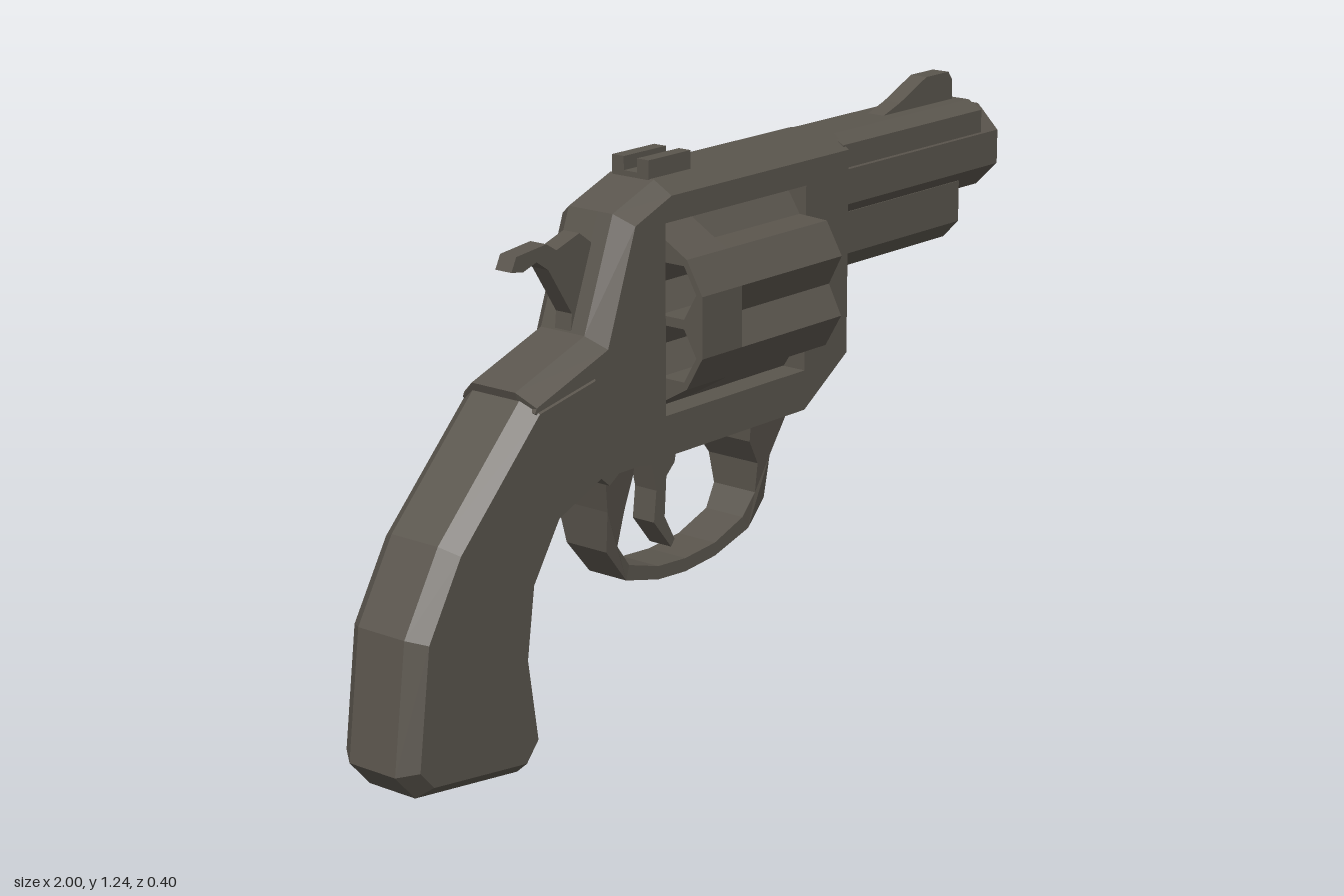
import * as THREE from 'three';

const gunmetal = new THREE.MeshStandardMaterial({ color: 0x5a554d, flatShading: true });
gunmetal.name = 'gunmetal';

const vec = (pts) => pts.map(([x, y]) => new THREE.Vector2(x, y));

// Flat profile extruded along z, centred on z = 0
function slab(pts, half, options = {}, holes = []) {
  const shape = new THREE.Shape(vec(pts));
  holes.forEach((h) => shape.holes.push(new THREE.Path(vec(h))));
  const geo = new THREE.ExtrudeGeometry(shape, { depth: half * 2, bevelEnabled: false, ...options });
  return geo.translate(0, 0, -half);
}

// Profile given as (z, y), extruded along x from x0 to x1
function bar(pts, x0, x1, holes = []) {
  return slab(pts, (x1 - x0) / 2, {}, holes).rotateY(Math.PI / 2).translate((x0 + x1) / 2, 0, 0);
}

const mirrored = (pts) => [...pts, ...pts.map(([z, y]) => [-z, y]).reverse()];

// Move every vertex by a rule
function reshape(geo, rule) {
  const p = geo.attributes.position;
  const v = new THREE.Vector3();
  for (let i = 0; i < p.count; i++) {
    v.fromBufferAttribute(p, i);
    rule(v);
    p.setXYZ(i, v.x, v.y, v.z);
  }
  geo.computeVertexNormals();
  return geo;
}

export function createModel() {
  const model = new THREE.Group();
  const add = (name, geo) => {
    const mesh = new THREE.Mesh(geo, gunmetal);
    mesh.name = name;
    model.add(mesh);
  };

  // Frame with a window; the top and back edges are chamfered.
  // A third and fourth number give the corner's place on the side faces.
  const framePts = [
    [-0.2, 1.18, -0.19, 1.15], [0.41, 1.18, 0.41, 1.15], [0.41, 0.69], [0.26, 0.59], [-0.36, 0.59],
    [-0.39, 0.57], [-0.5, 0.66], [-0.615, 0.775], [-0.63, 0.815, -0.61, 0.785],
    [-0.42, 0.89, -0.392, 0.862], [-0.33, 1.13, -0.305, 1.105],
  ];
  const opening = [[-0.21, 0.68], [0.26, 0.68], [0.26, 1.095], [-0.21, 1.095]];
  add('frame', reshape(slab(framePts, 0.1, { steps: 5 }, [opening]), (v) => {
    if (Math.abs(v.z) < 0.09) return;
    const c = framePts.find((p) => p.length > 2 && Math.hypot(p[0] - v.x, p[1] - v.y) < 0.001);
    if (c) { v.x = c[2]; v.y = c[3]; }
  }));

  // Grip with bevelled edges
  const gripPts = [
    [-0.41, 0.84], [-0.62, 0.8], [-0.865, 0.55], [-0.965, 0.38], [-1, 0.1], [-0.945, 0.04], [-0.645, 0.005],
    [-0.59, 0.07], [-0.62, 0.26], [-0.6, 0.405], [-0.53, 0.515], [-0.385, 0.575],
  ];
  add('grip', slab(gripPts, 0.064, {
    bevelEnabled: true, bevelThickness: 0.04, bevelSize: 0.03, bevelOffset: -0.03, bevelSegments: 1,
  }));

  // Drum: six chambers, plain at the rear and fluted at the front
  const cy = 0.887;
  const polar = (r, deg) => {
    const a = THREE.MathUtils.degToRad(deg);
    return [r * Math.cos(a), cy + r * Math.sin(a)];
  };
  const plain = [], fluted = [], chambers = [];
  for (let k = 0; k < 6; k++) {
    const a = k * 60;
    plain.push(polar(0.21, a - 18.5), polar(0.21, a + 18.5));
    fluted.push(polar(0.21, a - 18.5), polar(0.165, a), polar(0.21, a + 18.5));
    const [z, y] = polar(0.135, a + 30);
    chambers.push([0, 1, 2, 3, 4, 5].map((i) => {
      const t = i * Math.PI / 3;
      return [z + 0.066 * Math.cos(t), y + 0.066 * Math.sin(t)];
    }));
  }
  add('drumRear', bar(plain, -0.21, -0.08, chambers));
  add('drumFront', bar(fluted, -0.08, 0.26, chambers));

  // Octagonal barrel with a stepped muzzle and open bore
  const barrel = new THREE.LatheGeometry(vec([
    [0, 0.4], [0.103, 0.4], [0.103, 0.98], [0.089, 0.98], [0.089, 1], [0.077, 1], [0.077, 0.55], [0, 0.55],
  ]), 8, Math.PI / 8);
  add('barrel', barrel.rotateZ(-Math.PI / 2).translate(0, 1.065, 0));
  add('barrelRib', bar(mirrored([[0.055, 1.18], [0.092, 1.16], [0.092, 1.1]]), 0.4, 0.92));
  add('underLug', bar(mirrored([[0.072, 1.0], [0.072, 0.905], [0.03, 0.862]]), 0.4, 0.865));

  // Sights
  add('frontSight', slab([
    [0.61, 1.17], [0.7, 1.2], [0.8, 1.245], [0.885, 1.245], [0.9, 1.225], [0.9, 1.17],
  ], 0.022));
  add('rearSight', bar(mirrored([[0.018, 1.19], [0.018, 1.22], [0.05, 1.22], [0.05, 1.17]]), -0.205, -0.07));

  // Hammer
  add('hammer', slab([
    [-0.595, 1.05], [-0.58, 1.08], [-0.49, 1.09], [-0.46, 1.072], [-0.39, 1.095], [-0.355, 1.07],
    [-0.34, 0.9], [-0.42, 0.88], [-0.415, 0.93], [-0.485, 1.035], [-0.52, 1.058], [-0.56, 1.045],
  ], 0.022));

  // Trigger guard, wider towards the frame
  const guardPts = [
    [-0.39, 0.6], [-0.365, 0.5], [-0.352, 0.405], [-0.285, 0.325], [-0.18, 0.3], [-0.09, 0.295], [0.01, 0.305],
    [0.125, 0.34], [0.175, 0.4], [0.175, 0.5], [0.22, 0.6],
    [0.09, 0.6], [0.095, 0.55], [0.135, 0.49], [0.14, 0.42], [0.105, 0.37], [0.01, 0.335], [-0.09, 0.325],
    [-0.18, 0.33], [-0.275, 0.357], [-0.318, 0.41], [-0.31, 0.49], [-0.295, 0.57], [-0.295, 0.6],
  ];
  add('triggerGuard', reshape(slab(guardPts, 1), (v) => {
    v.z *= 0.052 + Math.max(0, v.y - 0.38) * 0.16;
  }));

  // Trigger
  add('trigger', slab([
    [-0.25, 0.6], [-0.23, 0.56], [-0.175, 0.55], [-0.16, 0.49], [-0.168, 0.42], [-0.112, 0.352], [-0.1, 0.367],
    [-0.133, 0.425], [-0.127, 0.515], [-0.1, 0.54], [-0.085, 0.6],
  ], 0.03));

  return model;
}
